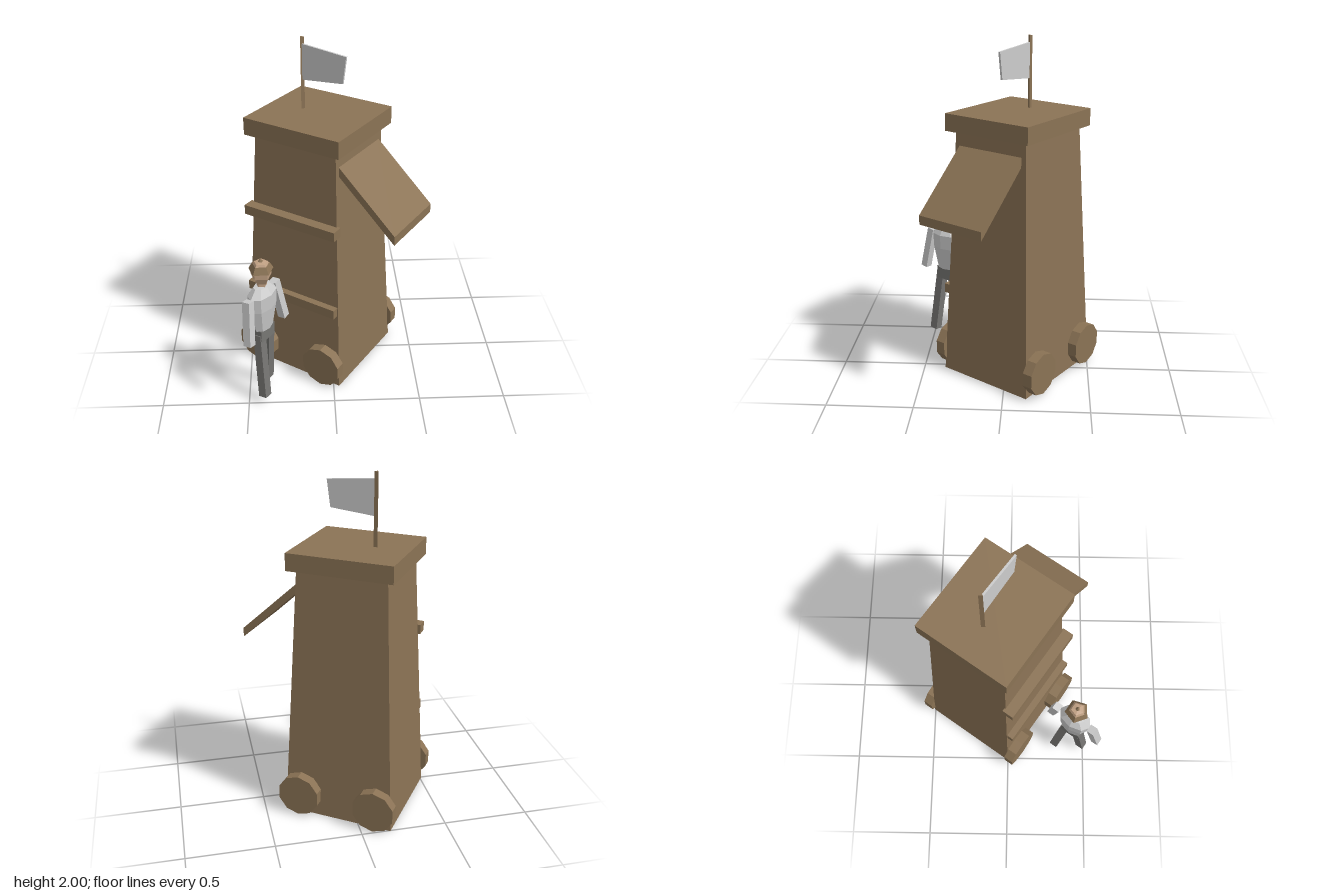
import * as THREE from 'three';

const mat = (name, color) => {
  const m = new THREE.MeshStandardMaterial({ color });
  m.name = name;
  return m;
};

export function createModel() {
  const wood = mat('wood', 0x8b7355);
  const cloth = mat('paleCloth', 0xcccccc);
  const trousers = mat('greyTrousers', 0x777673);
  const skin = mat('skin', 0xc0a083);

  // Faceted mesh helper
  const add = (parent, name, geo, material, x = 0, y = 0, z = 0) => {
    const g = geo.index ? geo.toNonIndexed() : geo;
    g.computeVertexNormals();
    const mesh = new THREE.Mesh(g, material);
    mesh.name = name;
    mesh.position.set(x, y, z);
    parent.add(mesh);
    return mesh;
  };
  const box = (w, h, d) => new THREE.BoxGeometry(w, h, d);

  // Outline in the xy plane given thickness along z
  const plate = (points, depth) => {
    const shape = new THREE.Shape(points.map(([x, y]) => new THREE.Vector2(x, y)));
    return new THREE.ExtrudeGeometry(shape, { depth, bevelEnabled: false }).translate(0, 0, -depth / 2);
  };

  // Square beam between two points
  const limb = (parent, name, a, b, w, d, material) => {
    const p = new THREE.Vector3(...a), q = new THREE.Vector3(...b);
    const dir = p.clone().sub(q);
    const m = add(parent, name, box(w, dir.length(), d), material);
    m.position.copy(p).add(q).multiplyScalar(0.5);
    m.quaternion.setFromUnitVectors(new THREE.Vector3(0, 1, 0), dir.normalize());
  };

  const model = new THREE.Group();
  model.name = 'siegeTower';
  const tower = new THREE.Group();
  tower.name = 'tower';
  tower.position.set(-0.067, 0, -0.067);
  tower.rotation.y = -0.6;
  model.add(tower);

  // Tapered body
  const body = box(0.66, 1.49, 0.612).translate(0, 0.745, 0);
  const pos = body.attributes.position;
  for (let i = 0; i < pos.count; i++) {
    if (pos.getY(i) > 1) {
      pos.setX(i, pos.getX(i) * 0.79);
      pos.setZ(i, pos.getZ(i) * 0.79);
    }
  }
  add(tower, 'body', body, wood);
  add(tower, 'roofSlab', box(0.61, 0.1, 0.57), wood, 0, 1.54, 0);

  // Lowered ramp with upright end faces
  add(tower, 'ramp', plate([[0.253, 1.365], [0.613, 1.035], [0.613, 1.088], [0.253, 1.418]], 0.432), wood);

  // Side slats
  for (const y of [0.52, 1.037]) add(tower, 'slat', box(0.6, 0.057, 0.07), wood, 0, y, 0.287);

  // Ten-sided wheels
  for (const x of [-0.235, 0.228]) {
    for (const z of [-0.327, 0.327]) {
      add(tower, 'wheel', new THREE.CylinderGeometry(0.127, 0.127, 0.06, 10).rotateX(Math.PI / 2), wood, x, 0.134, z);
    }
  }

  // Flag and pole
  add(tower, 'flagPole', new THREE.CylinderGeometry(0.013, 0.013, 0.42, 3), wood, -0.105, 1.79, 0);
  add(tower, 'flag', plate([[-0.1, 1.76], [0.158, 1.785], [0.178, 1.938], [-0.1, 1.962]], 0.012), cloth);

  // Standing figure, facing the same way as the ramp
  const figure = new THREE.Group();
  figure.name = 'figure';
  figure.position.set(-0.011, 0, 0.574);
  tower.add(figure);

  const lathe = (points, sides) =>
    new THREE.LatheGeometry(points.map(([r, y]) => new THREE.Vector2(r, y)), sides);

  // Torso tapering to the waist
  add(figure, 'torso', lathe([[0, 0.48], [0.068, 0.485], [0.1, 0.63], [0.105, 0.72], [0.06, 0.765], [0, 0.77]], 8)
    .scale(0.62, 1, 1), cloth);
  add(figure, 'hips', box(0.06, 0.08, 0.125), trousers, 0, 0.45, 0);

  // Arms and striding legs
  for (const s of [-1, 1]) {
    limb(figure, 'arm', [-0.005, 0.725, s * 0.122], [0.022, 0.465, s * 0.165], 0.048, 0.045, cloth);
    limb(figure, 'leg', [0, 0.455, s * 0.042], [s * 0.045, 0.05, s * 0.075], 0.05, 0.052, trousers);
  }

  // Neck, faceted head, headband and tuft
  add(figure, 'neck', new THREE.CylinderGeometry(0.028, 0.032, 0.05, 5), skin, 0, 0.778, 0);
  add(figure, 'head', lathe([[0, 0.785], [0.04, 0.79], [0.06, 0.83], [0.062, 0.88], [0.038, 0.915], [0, 0.922]], 5), skin);
  add(figure, 'headband', lathe([[0.05, 0.855], [0.072, 0.865], [0.05, 0.905], [0.05, 0.855]], 5), wood);
  add(figure, 'tuft', new THREE.ConeGeometry(0.018, 0.025, 5), wood, 0, 0.926, 0);

  return model;
}
